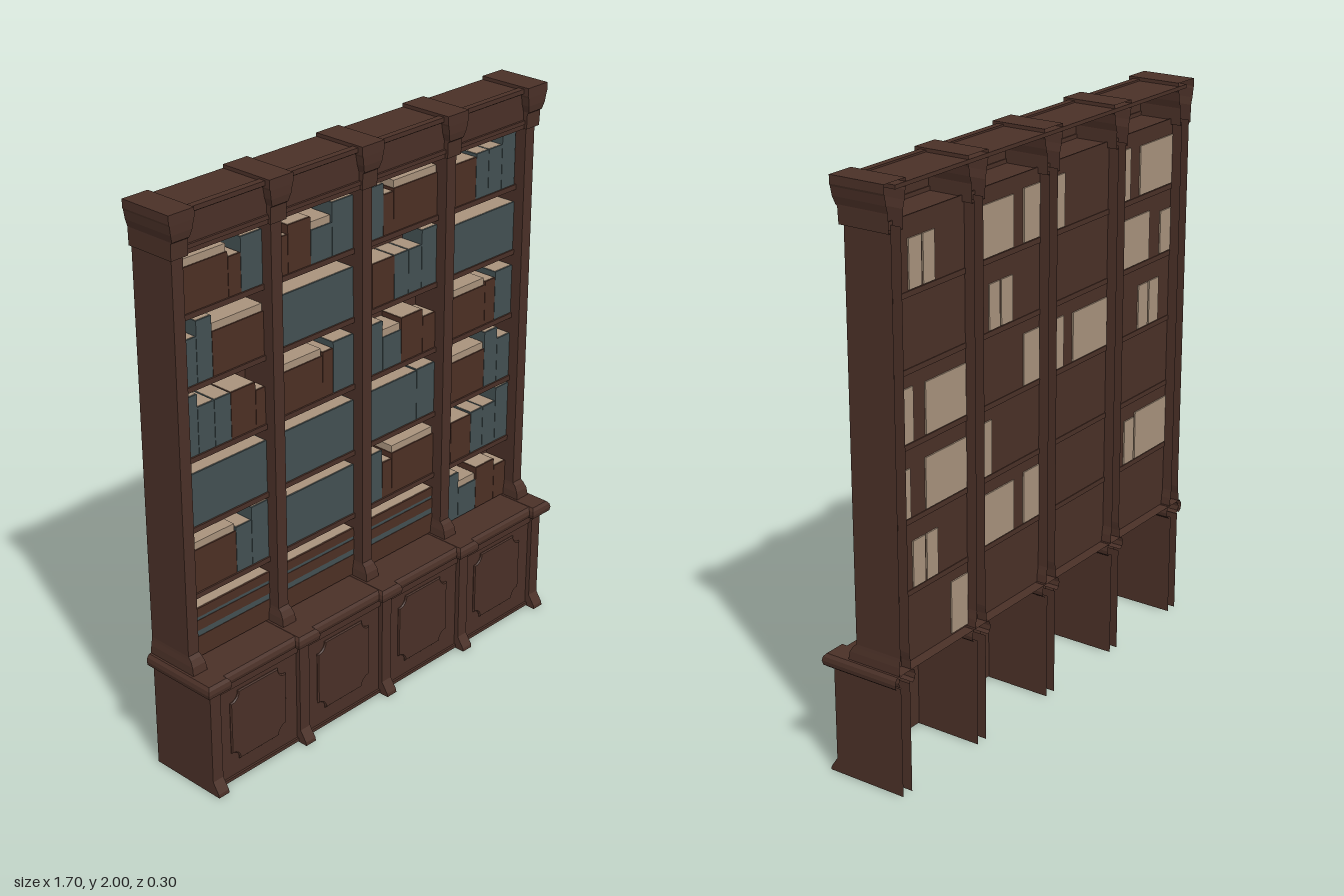
import * as THREE from 'three';

const mat = (name, color) => Object.assign(new THREE.MeshStandardMaterial({ color }), { name });

export function createModel() {
  const root = new THREE.Group();
  root.name = 'bookcase';
  const wood = mat('dark wood', 0x4a3027);
  wood.side = THREE.DoubleSide;
  const brown = mat('brown leather', 0x4c2f24);
  const blue = mat('slate cloth', 0x435052);
  const cream = mat('paper', 0xa8927c);
  const BACK = -0.148, PANEL = -0.105;

  const add = (name, geo, material, parent = root) => {
    const m = new THREE.Mesh(geo, material);
    m.name = name;
    parent.add(m);
    return m;
  };
  // Box given by its limits
  const box = (name, material, x0, x1, y0, y1, z0, z1, parent) => {
    const m = add(name, new THREE.BoxGeometry(x1 - x0, y1 - y0, z1 - z0), material, parent);
    m.position.set((x0 + x1) / 2, (y0 + y1) / 2, (z0 + z1) / 2);
    return m;
  };
  // Three-sided shell, open at the back; each ring is [y, half width, front z]
  const shell = (name, x, rings, cap, parent) => {
    const pos = [];
    const ring = ([y, w, z]) => [[x - w, y, BACK], [x - w, y, z], [x + w, y, z], [x + w, y, BACK]];
    const quad = (a, b, c, d) => pos.push(...a, ...b, ...c, ...a, ...c, ...d);
    for (let i = 0; i < rings.length - 1; i++) {
      const lo = ring(rings[i]), hi = ring(rings[i + 1]);
      for (let k = 0; k < 3; k++) quad(lo[k], lo[k + 1], hi[k + 1], hi[k]);
    }
    if (cap) {
      const t = ring(rings[rings.length - 1]);
      quad(t[0], t[1], t[2], t[3]);
    }
    const g = new THREE.BufferGeometry();
    g.setAttribute('position', new THREE.Float32BufferAttribute(pos, 3));
    g.computeVertexNormals();
    return add(name, g, wood, parent);
  };

  // Pilasters: lower part, counter bump, upper post and capital
  for (let i = -2; i <= 2; i++) {
    const x = i * 0.4;
    const p = new THREE.Group();
    p.name = 'pilaster';
    root.add(p);
    shell('lowerPilaster', x, [[0, 0.0225, 0.148], [0.012, 0.0225, 0.146], [0.05, 0.0225, 0.121], [0.385, 0.0225, 0.121]], false, p);
    shell('counterBump', x, [[0.384, 0.036, 0.134], [0.393, 0.047, 0.145], [0.408, 0.05, 0.148],
      [0.422, 0.047, 0.145], [0.432, 0.038, 0.136]], true, p);
    shell('upperPost', x, [[0.43, 0.03, 0.055], [0.46, 0.028, 0.05], [0.48, 0.024, 0.038], [0.49, 0.0225, 0.026], [1.86, 0.0225, 0.026]], false, p);
    shell('capital', x, [[1.85, 0.0225, 0.026], [1.85, 0.033, 0.037], [1.905, 0.034, 0.039], [1.91, 0.034, 0.046],
      [1.935, 0.042, 0.051], [1.965, 0.047, 0.053], [1.972, 0.05, 0.053], [2, 0.05, 0.053]], true, p);
  }

  // Counter, back and cornice
  shell('counter', 0, [[0.385, 0.815, 0.114], [0.393, 0.828, 0.126], [0.408, 0.832, 0.131],
    [0.422, 0.828, 0.127], [0.431, 0.815, 0.118]], true);
  box('backPanel', wood, -0.8, 0.8, 0.43, 1.87, PANEL - 0.005, PANEL);
  box('corniceTop', wood, -0.8, 0.8, 1.975, 1.988, BACK, 0.03);
  box('corniceFront', wood, -0.8, 0.8, 1.85, 1.98, 0.014, 0.022);
  box('corniceUpperMoulding', wood, -0.8, 0.8, 1.978, 1.994, 0.01, 0.034);
  box('corniceLowerMoulding', wood, -0.8, 0.8, 1.866, 1.88, 0.01, 0.03);
  box('corniceSoffit', wood, -0.8, 0.8, 1.85, 1.866, PANEL, 0.026);

  // Door relief with notched, concave corners
  const hw = 0.125, hh = 0.133, r = 0.035;
  const relief = (s, d) => {
    const w = hw * s, h = hh * s + (s - 1) * -0.004, sh = new THREE.Shape();
    sh.moveTo(-w + r, -h);
    sh.lineTo(w - r, -h);
    sh.absarc(w, -h, r, Math.PI, Math.PI / 2, true);
    sh.lineTo(w, h - r);
    sh.absarc(w, h, r, -Math.PI / 2, -Math.PI, true);
    sh.lineTo(-w + r, h);
    sh.absarc(-w, h, r, 0, -Math.PI / 2, true);
    sh.lineTo(-w, -h + r);
    sh.absarc(-w, -h, r, Math.PI / 2, 0, true);
    return new THREE.ExtrudeGeometry(sh, { depth: d, bevelEnabled: true, bevelSize: 0.004, bevelThickness: 0.004, bevelSegments: 1, curveSegments: 5 });
  };
  for (let i = 0; i < 4; i++) {
    const x = -0.6 + i * 0.4;
    box('door', wood, x - 0.18, x + 0.18, 0.005, 0.385, 0.098, 0.104);
    box('doorBottomRail', wood, x - 0.18, x + 0.18, 0.003, 0.015, 0.098, 0.112);
    box('doorTopRail', wood, x - 0.18, x + 0.18, 0.358, 0.385, 0.098, 0.112);
    add('doorRelief', relief(0.97, 0.01), wood).position.set(x, 0.203, 0.096);
  }

  // Books per shelf and bay: kind, width and height in thousandths.
  // P brown with tall pages, R brown, B slate, b slate with pages through the back,
  // C slate with tall pages, S lying stack
  const shelves = [
    [1.64, ['P212 175,R53 130,b90 180', 'R64 130,R100 160,C95 140,b95 180', 'b95 180,R48 140,P212 175', 'R43 130,R106 150,b64 160,b69 160,B69 205']],
    [1.40, ['b74 155,B64 205,P217 175', 'B355 175', 'R43 125,R106 155,b69 155,b64 155,B74 205', 'B355 175']],
    [1.16, ['B69 205,b69 160,b69 160,R106 160,R43 130', 'P212 175,R48 160,b95 180', 'b95 180,C90 145,R106 160,R64 130', 'P212 175,R53 160,b90 180']],
    [0.915, ['B355 185', 'B355 185', 'B265 185,b90 188', 'P217 175,B69 210,b69 165']],
    [0.675, ['P212 180,b69 165,B74 210', 'B355 185', 'b95 185,R48 135,P212 180', 'R48 135,R106 155,b64 160,b69 160,B69 210']],
    [0.435, ['S355 180', 'S355 180', 'S355 180', 'b95 185,C95 145,R100 165,R64 135']],
  ];
  const book = (kind, x0, x1, y, h) => {
    const g = new THREE.Group();
    g.name = 'book';
    root.add(g);
    if (kind === 'S') {
      // Lying volumes in alternating bindings
      const layers = [[0, 0.076, brown], [0.076, 0.098, blue], [0.098, 0.136, brown], [0.136, 0.148, blue], [0.148, h, brown]];
      layers.forEach(([a, b, m], i) =>
        box('lyingBook', m, x0, x1, y + a, y + b, PANEL, -0.014 - (i % 2) * 0.002, g));
      box('pages', cream, x0 + 0.004, x1 - 0.004, y + h - 0.01, y + h + 0.001, PANEL, -0.02, g);
      return;
    }
    const tall = kind === 'P' || kind === 'C';
    const through = kind === 'P' || kind === 'b';
    const cover = kind === 'P' || kind === 'R' ? brown : blue;
    const ch = tall ? h - 0.026 : h;
    box('cover', cover, x0 + 0.0008, x1 - 0.0008, y, y + ch, PANEL + 0.002, -0.014, g);
    box('pages', cream, x0 + 0.004, x1 - 0.004, y + 0.004, y + (tall ? h : h + 0.001),
      through ? PANEL - 0.01 : PANEL, -0.019, g);
  };
  for (const [y, bays] of shelves) {
    if (y > 0.5) box('shelf', wood, -0.8, 0.8, y - 0.018, y, PANEL - 0.008, -0.008);
    bays.forEach((bay, i) => {
      let x = -0.777 + i * 0.4;
      for (const entry of bay.split(',')) {
        const [w, h] = entry.slice(1).split(' ').map((v) => v / 1000);
        book(entry[0], x, x + w, y, h);
        x += w;
      }
    });
  }
  return root;
}
